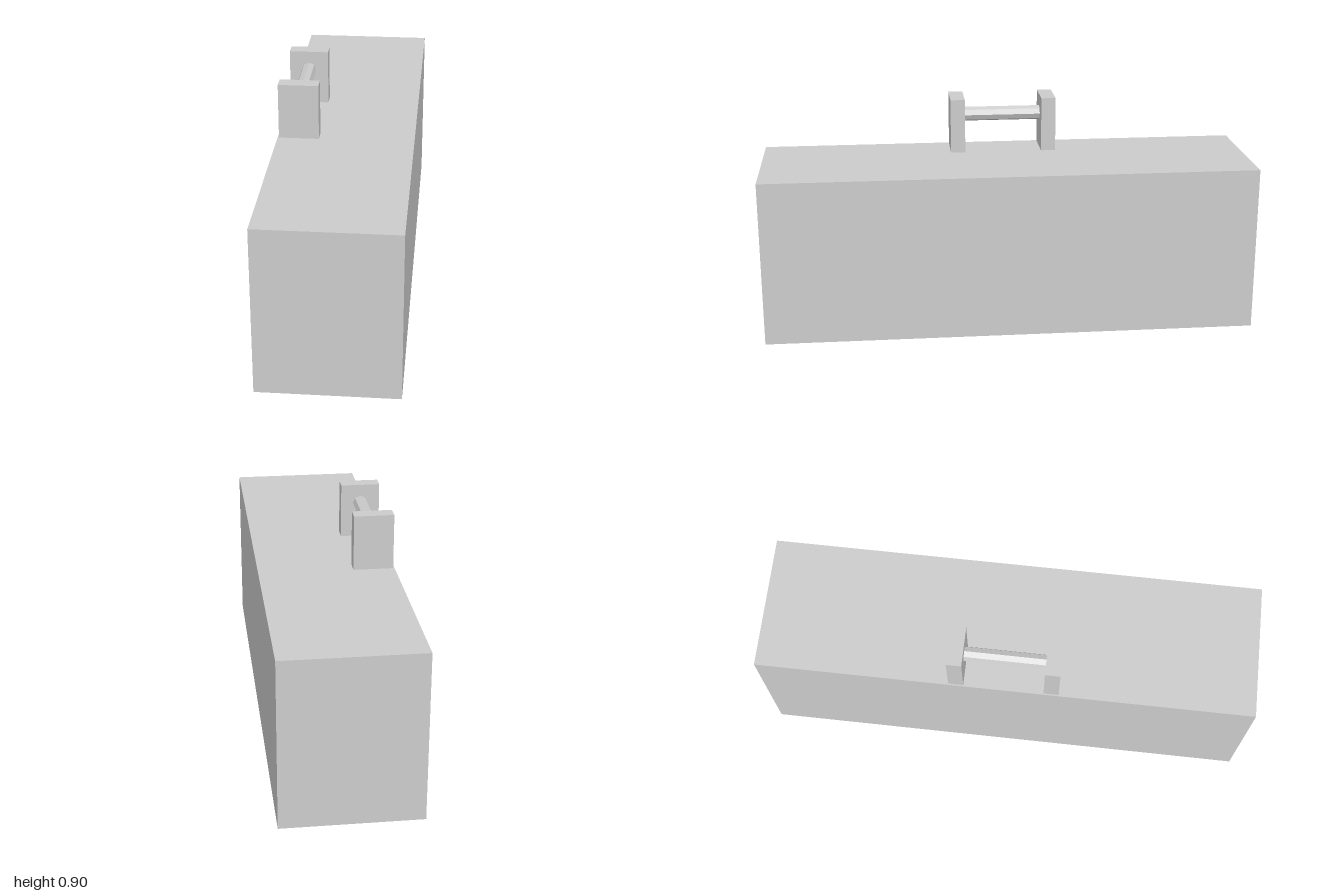
import * as THREE from 'three';

export function createModel() {
  const model = new THREE.Group();
  const material = new THREE.MeshStandardMaterial({ color: 0xcccccc, flatShading: true });

  const add = (name, geometry, x, y, z, parent = model) => {
    const mesh = new THREE.Mesh(geometry, material);
    mesh.name = name;
    mesh.position.set(x, y, z);
    parent.add(mesh);
    return mesh;
  };

  // Solid block standing on the ground
  const bodyHeight = 0.675;
  add('body', new THREE.BoxGeometry(0.545, bodyHeight, 2), 0, bodyHeight / 2, 0);

  // Handle along the right edge of the top: two posts joined by an eight-sided bar
  const handle = new THREE.Group();
  handle.name = 'handle';
  handle.position.set(-0.187, bodyHeight, 0);
  model.add(handle);

  const postHeight = 0.225;
  for (const side of [1, -1]) {
    add(side > 0 ? 'frontPost' : 'backPost',
      new THREE.BoxGeometry(0.16, postHeight, 0.06), 0, postHeight / 2, side * 0.19, handle);
  }
  const bar = add('gripBar', new THREE.CylinderGeometry(0.03, 0.03, 0.33, 8), 0, 0.147, 0, handle);
  bar.rotation.x = Math.PI / 2;

  return model;
}
